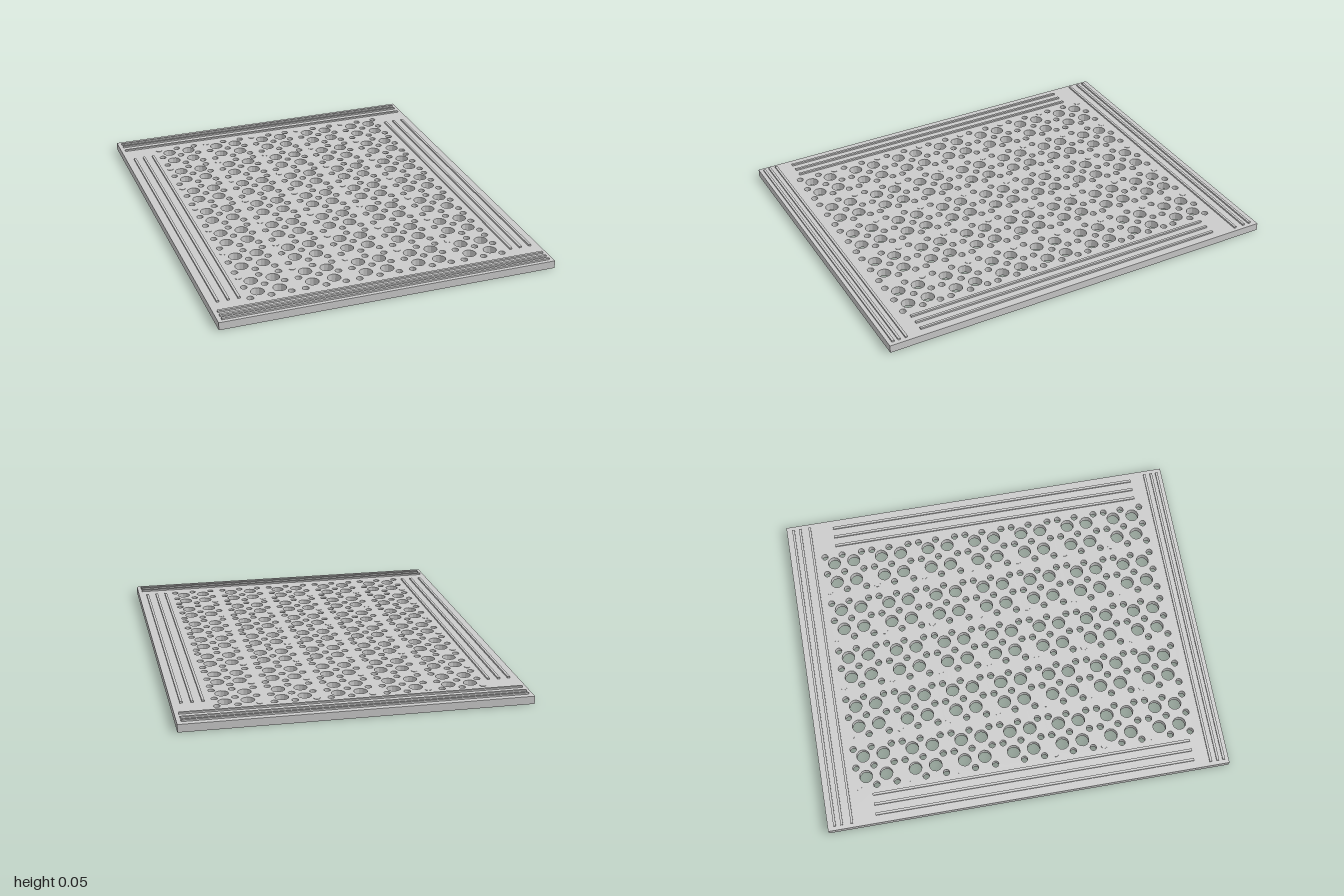
import * as THREE from 'three';

const W = 1.64, L = 2, T = 0.038, RIB_H = 0.008, RIB_W = 0.012;
const mat = new THREE.MeshStandardMaterial({ color: 0xcccccc, flatShading: true });

function addMesh(parent, name, geometry, x = 0, y = 0, z = 0) {
  const mesh = new THREE.Mesh(geometry, mat);
  mesh.name = name;
  mesh.position.set(x, y, z);
  parent.add(mesh);
}

// Polygonal hole outline in the plate's shape plane (shape y = -z)
function hole(x, z, r, sides) {
  const points = [];
  for (let i = 0; i < sides; i++) {
    const a = -i / sides * Math.PI * 2;
    points.push(new THREE.Vector2(x + r * Math.cos(a), -z + r * Math.sin(a)));
  }
  return new THREE.Path(points);
}

export function createModel() {
  const model = new THREE.Group();
  model.name = 'perforatedTray';

  const outline = new THREE.Shape([
    new THREE.Vector2(-W / 2, -L / 2), new THREE.Vector2(W / 2, -L / 2),
    new THREE.Vector2(W / 2, L / 2), new THREE.Vector2(-W / 2, L / 2),
  ]);

  // 5 x 7 clusters: nine small holes (the first one plugged) around four large ones
  const plugs = new THREE.Group();
  plugs.name = 'plugs';
  const plugGeometry = new THREE.CylinderGeometry(0.016, 0.016, 0.03, 12);
  const smallX = [0, 0.1, 0.196], smallZ = [0, 0.09, 0.191];
  const largeX = [0.048, 0.154], largeZ = [0.044, 0.145];
  for (let i = 0; i < 5; i++) {
    for (let j = 0; j < 7; j++) {
      const x0 = -0.627 + i * 0.263, z0 = -0.823 + j * 0.246;
      for (const dx of smallX) for (const dz of smallZ) {
        if (dx === 0 && dz === 0) addMesh(plugs, 'plug', plugGeometry, x0, T - 0.013, z0);
        else outline.holes.push(hole(x0 + dx, z0 + dz, 0.016, 12));
      }
      for (const dx of largeX) for (const dz of largeZ) {
        outline.holes.push(hole(x0 + dx, z0 + dz, 0.032, 12));
      }
    }
  }
  const plate = new THREE.ExtrudeGeometry(outline, { depth: T, bevelEnabled: false });
  plate.rotateX(-Math.PI / 2);
  addMesh(model, 'plate', plate);
  model.add(plugs);

  // Three raised ribs along each edge
  const ribs = new THREE.Group();
  ribs.name = 'ribs';
  const ribY = T + RIB_H / 2 - 0.001;
  const crossRib = new THREE.BoxGeometry(1.6, RIB_H + 0.002, RIB_W);
  for (const z of [0.975, 0.945, 0.91, -0.88, -0.93, -0.965]) {
    addMesh(ribs, z > 0 ? 'frontRib' : 'backRib', crossRib, 0, ribY, z);
  }
  const sideRib = new THREE.BoxGeometry(RIB_W, RIB_H + 0.002, 1.59);
  for (const side of [-1, 1]) for (const x of [0.775, 0.725, 0.675]) {
    addMesh(ribs, side > 0 ? 'leftRib' : 'rightRib', sideRib, side * x, ribY, 0.035);
  }
  model.add(ribs);

  return model;
}
